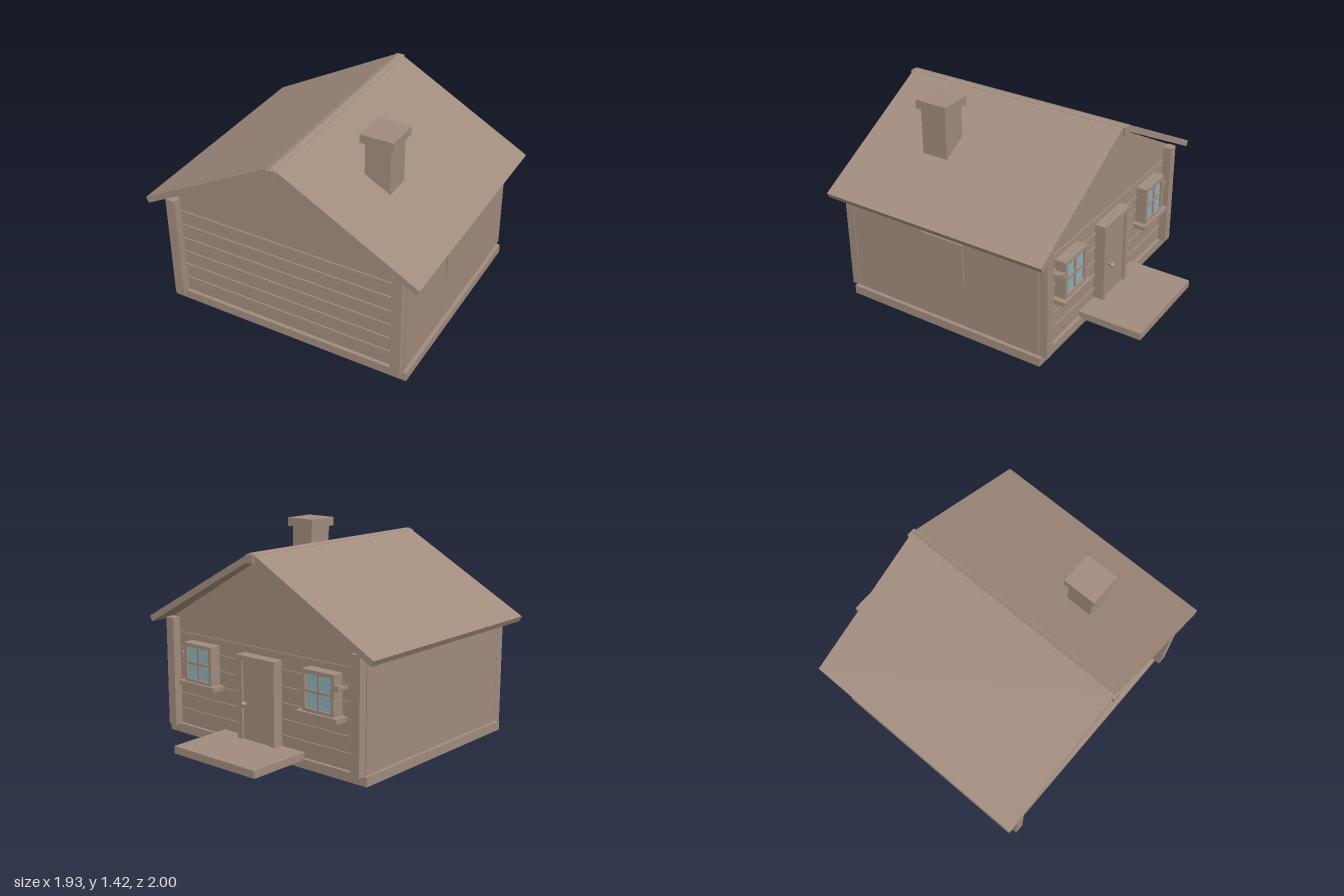
import * as THREE from 'three';

export function createModel() {
  const house = new THREE.Group();
  house.name = 'cabin';
  const wood = new THREE.MeshStandardMaterial({ color: 0xa18c7d });
  wood.name = 'weathered wood';
  const glass = new THREE.MeshStandardMaterial({ color: 0x8fb0b8 });
  glass.name = 'window glass';

  // Box given by its min and max along each axis
  function box(name, [x0, x1], [y0, y1], [z0, z1], material = wood, parent = house) {
    const mesh = new THREE.Mesh(new THREE.BoxGeometry(x1 - x0, y1 - y0, z1 - z0), material);
    mesh.position.set((x0 + x1) / 2, (y0 + y1) / 2, (z0 + z1) / 2);
    mesh.name = name;
    parent.add(mesh);
    return mesh;
  }

  // Outline in x and y, extruded from z0 to z1
  function prism(name, points, z0, z1) {
    const shape = new THREE.Shape(points.map(([x, y]) => new THREE.Vector2(x, y)));
    const geometry = new THREE.ExtrudeGeometry(shape, { depth: z1 - z0, bevelEnabled: false });
    const mesh = new THREE.Mesh(geometry, wood);
    mesh.position.z = z0;
    mesh.name = name;
    house.add(mesh);
  }

  // Foundation and gabled body
  const front = 0.885, back = -0.545;
  box('foundation', [-0.865, 0.865], [0, 0.062], [-0.57, 0.91]);
  prism('walls', [[-0.84, 0.06], [0.84, 0.06], [0.84, 0.805], [0, 1.29], [-0.84, 0.805]], back, front);

  // Corner posts, standing slightly clear of the walls
  for (const s of [-1, 1]) {
    const x = s > 0 ? [0.77, 0.838] : [-0.838, -0.77];
    box('frontCornerPost', x, [0.057, 0.81], [0.891, 0.95]);
    box('backCornerPost', x, [0.057, 0.81], [-0.61, -0.551]);
  }

  // Horizontal siding strips on both gable walls
  for (let i = 0; i < 6; i++) {
    const y = [0.164 + i * 0.107, 0.175 + i * 0.107];
    box('frontSidingStrip', [-0.8, 0.8], y, [front - 0.005, front + 0.009]);
    box('backSidingStrip', [-0.8, 0.8], y, [back - 0.009, back + 0.005]);
  }

  // Roof slabs and ridge beam
  for (const s of [-1, 1]) {
    const slab = [[0.965, 0.805], [0.008, 1.33], [-0.012, 1.293], [0.945, 0.768]];
    prism('roofSlab', slab.map(([x, y]) => [s * x, y]), -0.645, 0.985);
  }
  box('ridgeBeam', [-0.03, 0.03], [1.267, 1.32], [-0.66, 1.0]);

  // Chimney
  box('chimney', [0.36, 0.535], [0.98, 1.36], [0.335, 0.52]);
  box('chimneyCap', [0.335, 0.56], [1.36, 1.42], [0.31, 0.54]);

  // Blank panel on the left wall
  box('sidePanel', [0.835, 0.85], [0.4, 0.68], [0.005, 0.325]);

  // Porch platform
  box('porch', [-0.353, 0.353], [0.05, 0.1], [-1.0, -0.55]);

  // Door with frame and knob
  box('door', [-0.12, 0.12], [0.1, 0.635], [-0.605, back]);
  for (const x of [-0.14, 0.14]) box('doorJamb', [x - 0.02, x + 0.02], [0.1, 0.635], [-0.62, back]);
  box('doorHeader', [-0.165, 0.165], [0.63, 0.66], [-0.622, back]);
  const knob = new THREE.Mesh(new THREE.SphereGeometry(0.018, 16, 12), wood);
  knob.position.set(0.09, 0.345, -0.638);
  knob.name = 'doorKnob';
  house.add(knob);
  box('knobStem', [0.084, 0.096], [0.339, 0.351], [-0.63, -0.6]);

  // Back windows: casing, four panes, sill and a small outer latch
  for (const s of [-1, 1]) {
    const window = new THREE.Group();
    window.name = s > 0 ? 'leftWindow' : 'rightWindow';
    window.position.set(s * 0.525, 0, 0);
    house.add(window);
    const part = (name, x, y, z, material) => box(name, x, y, z, material, window);
    part('windowBacking', [-0.12, 0.12], [0.4, 0.655], [-0.605, back]);
    for (const x of [-0.115, 0.115]) part('windowStile', [x - 0.013, x + 0.013], [0.395, 0.665], [-0.625, back]);
    for (const y of [0.408, 0.652]) part('windowRail', [-0.128, 0.128], [y - 0.013, y + 0.013], [-0.625, back]);
    part('verticalMuntin', [-0.009, 0.009], [0.4, 0.66], [-0.62, -0.6]);
    part('horizontalMuntin', [-0.12, 0.12], [0.521, 0.539], [-0.62, -0.6]);
    for (const x of [-0.0555, 0.0555]) {
      for (const y of [0.471, 0.589]) {
        part('glassPane', [x - 0.0465, x + 0.0465], [y - 0.05, y + 0.05], [-0.61, -0.603], glass);
      }
    }
    part('windowSill', [-0.165, 0.165], [0.37, 0.4], [-0.643, back]);
    const x = s * 0.148;
    part('latchArm', [x - 0.022, x + 0.022], [0.575, 0.59], [-0.615, back]);
    part('latch', [x - 0.014, x + 0.014], [0.565, 0.6], [-0.628, -0.6]);
  }

  return house;
}
